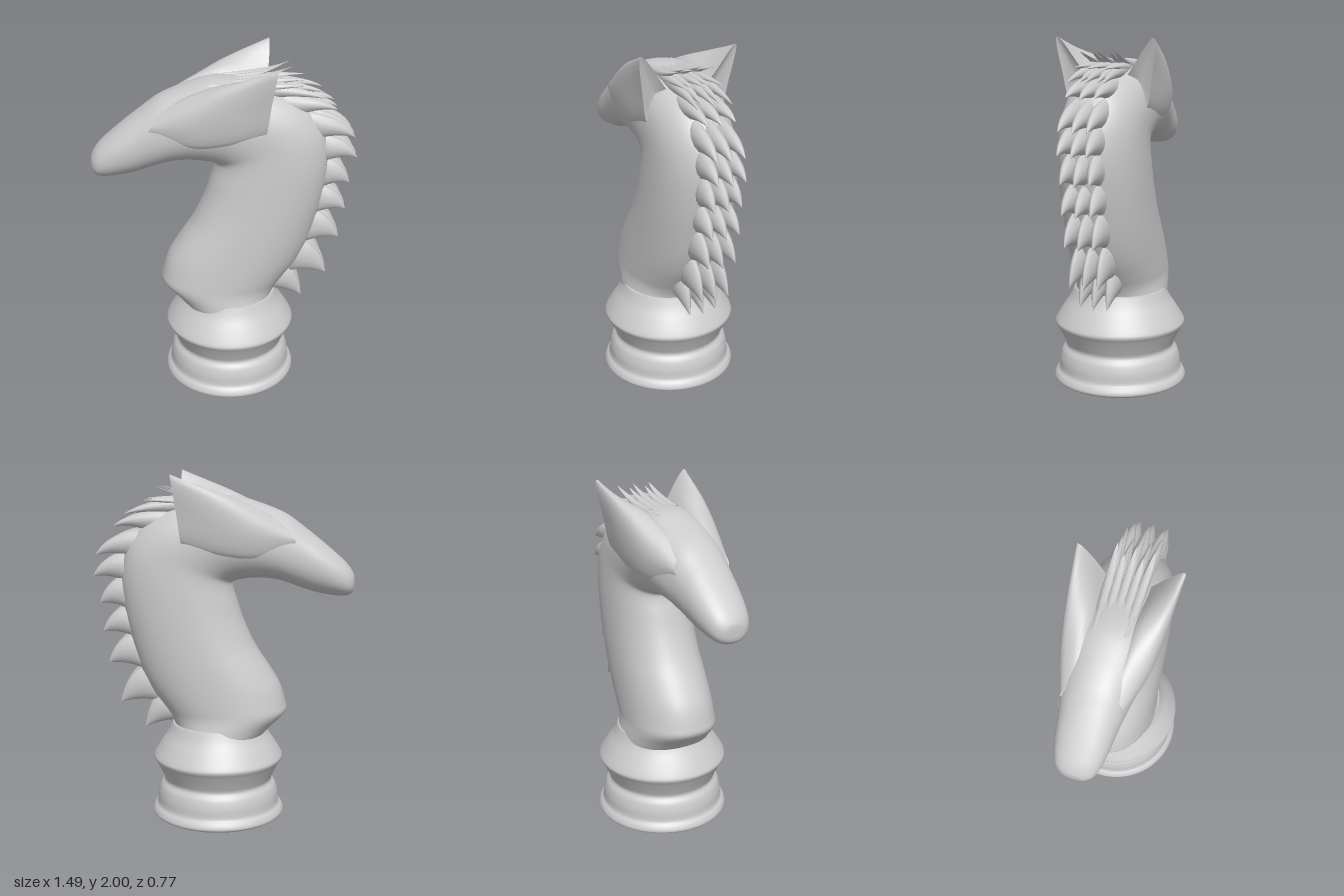
import * as THREE from 'three';

const material = new THREE.MeshStandardMaterial({ color: 0xcccccc });
const V = (x, y, z = 0) => new THREE.Vector3(x, y, z);

// Skin a series of closed rings; both ends are capped with their own vertices.
function skin(rings, name, capInset = 0) {
  const n = rings[0].length, pos = [], index = [];
  rings.forEach((ring) => ring.forEach((p) => pos.push(p.x, p.y, p.z)));
  for (let i = 0; i < rings.length - 1; i++) {
    for (let j = 0; j < n; j++) {
      const k = (j + 1) % n, a = i * n, b = a + n;
      index.push(a + j, b + j, a + k, a + k, b + j, b + k);
    }
  }
  [rings[0], rings[rings.length - 1]].forEach((ring, end) => {
    const start = pos.length / 3, mid = V(0, 0);
    ring.forEach((p) => { pos.push(p.x, p.y, p.z); mid.addScaledVector(p, 1 / n); });
    pos.push(mid.x - capInset * end, mid.y, mid.z);
    for (let j = 0; j < n; j++) {
      const k = (j + 1) % n;
      if (end) index.push(start + n, start + k, start + j);
      else index.push(start + n, start + j, start + k);
    }
  });
  const geometry = new THREE.BufferGeometry();
  geometry.setAttribute('position', new THREE.Float32BufferAttribute(pos, 3));
  geometry.setIndex(index);
  geometry.computeVertexNormals();
  const mesh = new THREE.Mesh(geometry, material);
  mesh.name = name;
  return mesh;
}

// Rounded ring spanning points a and b in the profile plane, half-width w across z.
function ovalRing(a, b, w, z, sides, power) {
  const soft = (v) => Math.sign(v) * Math.abs(v) ** (2 / power);
  return Array.from({ length: sides }, (_, j) => {
    const t = (j / sides) * Math.PI * 2;
    return a.clone().lerp(b, 0.5 + 0.5 * soft(Math.cos(t))).setZ(z + w * soft(Math.sin(t)));
  });
}

// Turned base
function makeBase() {
  const profile = [
    [0.365, 0.004], [0.382, 0.015], [0.385, 0.03], [0.375, 0.052], [0.357, 0.075], [0.352, 0.13],
    [0.338, 0.18], [0.315, 0.215], [0.328, 0.255], [0.36, 0.32], [0.376, 0.35],
    [0.37, 0.375], [0.33, 0.44], [0.29, 0.5], [0.262, 0.56],
  ].map(([r, y]) => new THREE.Vector2(r, y));
  const smooth = new THREE.SplineCurve(profile).getPoints(70);
  const points = [new THREE.Vector2(0, 0), new THREE.Vector2(0.355, 0), ...smooth, new THREE.Vector2(0, 0.58)];
  const base = new THREE.Mesh(new THREE.LatheGeometry(points, 72), material);
  base.position.x = 0.03;
  base.name = 'base';
  return base;
}

// Neck and head: throat x, y, back x, y, half-width
function makeNeckAndHead() {
  const sections = [
    [-0.24, 0.5, 0.29, 0.5, 0.27], [-0.29, 0.555, 0.28, 0.55, 0.262],
    [-0.365, 0.63, 0.31, 0.61, 0.252], [-0.362, 0.69, 0.36, 0.68, 0.25],
    [-0.33, 0.79, 0.43, 0.78, 0.248], [-0.27, 0.89, 0.485, 0.9, 0.246],
    [-0.185, 1.02, 0.53, 1.05, 0.243], [-0.12, 1.16, 0.565, 1.2, 0.24],
    [-0.08, 1.28, 0.585, 1.36, 0.237], [-0.058, 1.35, 0.575, 1.5, 0.233],
    [-0.055, 1.385, 0.53, 1.62, 0.23], [-0.075, 1.395, 0.43, 1.73, 0.23],
    [-0.11, 1.403, 0.29, 1.81, 0.23], [-0.16, 1.41, 0.12, 1.86, 0.23],
    [-0.24, 1.412, -0.06, 1.87, 0.222], [-0.33, 1.398, -0.2, 1.835, 0.203],
    [-0.43, 1.364, -0.35, 1.775, 0.177], [-0.52, 1.335, -0.45, 1.705, 0.16],
    [-0.6, 1.32, -0.54, 1.635, 0.148], [-0.67, 1.313, -0.63, 1.56, 0.13],
    [-0.712, 1.318, -0.7, 1.495, 0.105], [-0.735, 1.335, -0.738, 1.44, 0.065],
    [-0.743, 1.36, -0.744, 1.405, 0.025],
  ];
  const throat = new THREE.CatmullRomCurve3(sections.map((s) => V(s[0], s[1], s[4])), false, 'catmullrom');
  const back = new THREE.CatmullRomCurve3(sections.map((s) => V(s[2], s[3])), false, 'catmullrom');
  const rings = [], steps = (sections.length - 1) * 5;
  for (let i = 0; i <= steps; i++) {
    const a = throat.getPoint(i / steps), b = back.getPoint(i / steps), w = a.z;
    rings.push(ovalRing(a.setZ(0), b, w, 0, 56, 2.2));
  }
  return skin(rings, 'neckAndHead');
}

// Ear: five edge lines running from the brow back to a cut-off, pointed end
function makeEar(side) {
  const edges = [
    [[-0.42, 1.6, 0.14], [-0.2, 1.54, 0.195], [0, 1.55, 0.21], [0.21, 1.6, 0.205]],
    [[-0.41, 1.64, 0.165], [-0.2, 1.67, 0.235], [0, 1.73, 0.263], [0.235, 1.8, 0.26]],
    [[-0.39, 1.68, 0.15], [-0.2, 1.775, 0.21], [0, 1.89, 0.245], [0.265, 2, 0.28]],
    [[-0.37, 1.71, 0.1], [-0.2, 1.81, 0.12], [0, 1.875, 0.135], [0.25, 1.85, 0.16]],
    [[-0.36, 1.62, 0.05], [-0.2, 1.68, 0.05], [0, 1.7, 0.05], [0.2, 1.68, 0.06]],
  ].map((line) => new THREE.CatmullRomCurve3(line.map(([x, y, z]) => V(x, y, z * side))));
  if (side < 0) edges.reverse();
  const rings = [];
  for (let i = 0; i <= 20; i++) {
    const outline = new THREE.CatmullRomCurve3(edges.map((e) => e.getPoint(i / 20)), true);
    rings.push(outline.getPoints(30).slice(0, 30));
  }
  return skin(rings, side > 0 ? 'leftEar' : 'rightEar', 0.03);
}

// Lock of hair: a curved horn between an upper and a lower edge that meet at the tip
function makeLock(upper, lower, tip, width, z, fan) {
  const U = V(...upper), L = V(...lower), T = V(...tip);
  const top = new THREE.QuadraticBezierCurve3(U, V(T.x * 0.8 + U.x * 0.2, U.y * 0.75 + T.y * 0.25), T);
  const under = new THREE.QuadraticBezierCurve3(L, V((L.x + T.x) / 2, (L.y + T.y) / 2 + 0.03), T);
  const rings = [];
  for (let i = 0; i <= 8; i++) {
    const t = (i / 8) * 0.985;
    rings.push(ovalRing(top.getPoint(t), under.getPoint(t), width * (1 - t ** 1.8), z * (1 + fan * t), 12, 1.8));
  }
  return skin(rings, 'hairLock');
}

function makeMane() {
  const mane = new THREE.Group();
  mane.name = 'mane';
  // upper root, lower root, tip
  const rows = [
    [[0.37, 0.74], [0.24, 0.58], [0.45, 0.53]],
    [[0.46, 0.9], [0.36, 0.69], [0.59, 0.68]],
    [[0.52, 1.09], [0.45, 0.88], [0.655, 0.915]],
    [[0.55, 1.25], [0.51, 1.07], [0.685, 1.095]],
    [[0.57, 1.42], [0.54, 1.23], [0.7, 1.26]],
    [[0.55, 1.56], [0.55, 1.39], [0.735, 1.415]],
    [[0.46, 1.69], [0.52, 1.53], [0.72, 1.535]],
    [[0.3, 1.8], [0.4, 1.67], [0.615, 1.7]],
  ];
  for (const [u, l, t] of rows) {
    for (const z of [-0.072, 0, 0.072]) {
      const shift = z ? 0 : 0.008;
      mane.add(makeLock(u, l, [t[0] + shift, t[1] - shift], 0.042, z, 0.12));
    }
  }
  // Long strands sweeping back over the crown
  const crown = [
    [[0.08, 1.87], [0.2, 1.77], [0.55, 1.77]],
    [[-0.1, 1.86], [0.1, 1.78], [0.37, 1.925]],
    [[0.0, 1.87], [0.15, 1.78], [0.45, 1.845]],
  ];
  crown.forEach(([u, l, t], i) => {
    for (const k of [-2, -1, 0, 1, 2]) {
      const trim = Math.abs(k) % 2 ? 0.05 : 0;
      mane.add(makeLock(u, l, [t[0] - trim, t[1] - i * trim * 0.1], 0.03, k * 0.04, 0.25));
    }
  });
  return mane;
}

export function createModel() {
  const model = new THREE.Group();
  model.name = 'horseChessPiece';
  model.add(makeBase(), makeNeckAndHead(), makeEar(1), makeEar(-1), makeMane());
  return model;
}
